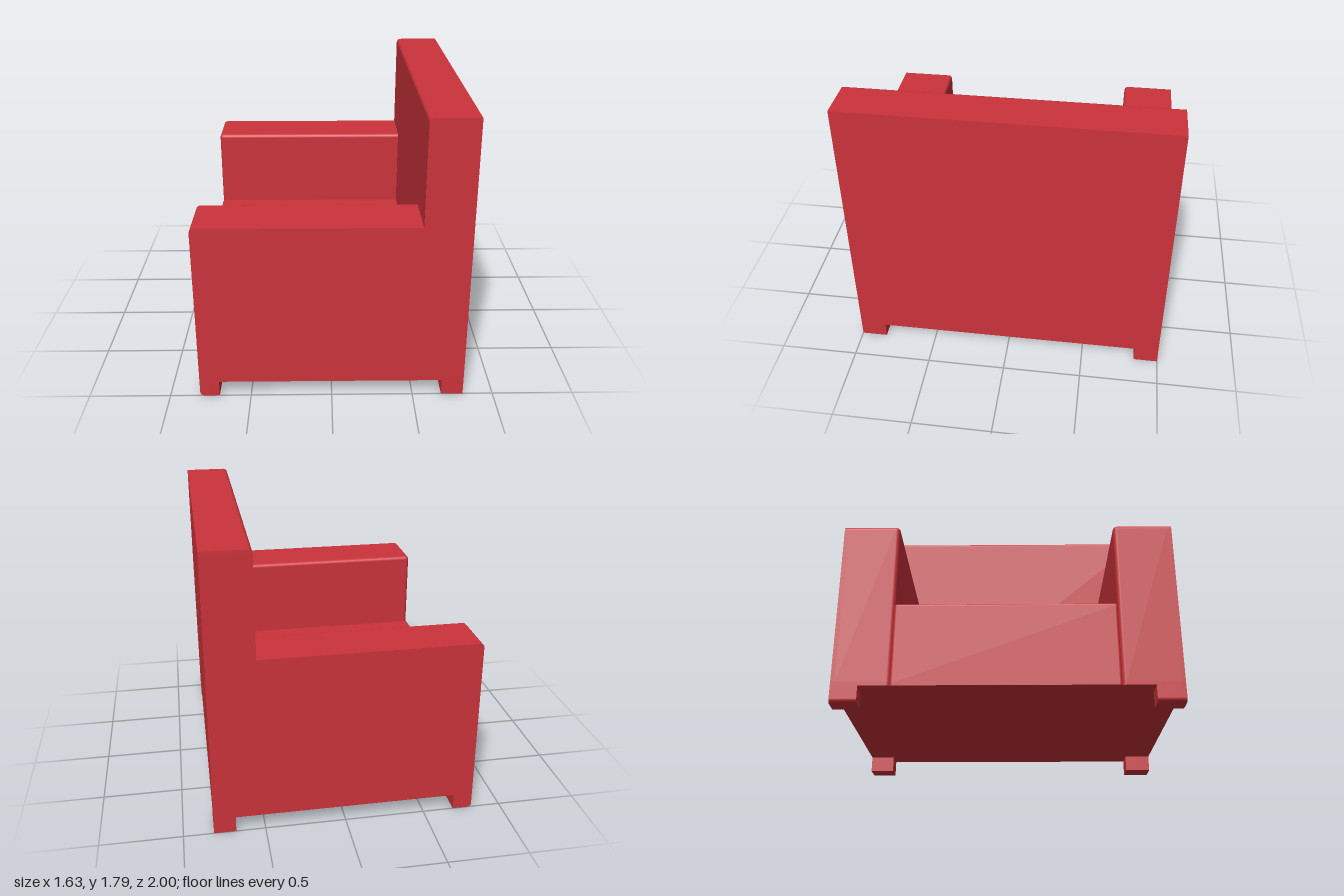
import * as THREE from 'three';

const material = new THREE.MeshStandardMaterial({ color: 0xcc333b });

// Box from min to max corner; only the listed sides (e.g. '-x', '+y') get rounded edges.
function softBox(name, min, max, soft = [], r = 0.025) {
  const n = 9, half = 4;
  const geometry = new THREE.BoxGeometry(1, 1, 1, n, n, n);
  const pos = geometry.attributes.position;
  const nor = geometry.attributes.normal;
  const axes = ['x', 'y', 'z'];
  const core = axes.map((a, k) => [
    min[k] + (soft.includes('-' + a) ? r : 0),
    max[k] - (soft.includes('+' + a) ? r : 0),
  ]);
  const p = new THREE.Vector3(), d = new THREE.Vector3(), c = new THREE.Vector3();
  for (let i = 0; i < pos.count; i++) {
    p.fromBufferAttribute(pos, i);
    // Gather the grid lines near the edges, then wrap the corners round the core.
    axes.forEach((a, k) => {
      const step = Math.round((p[a] + 0.5) * n);
      p[a] = step <= half ? min[k] + (r * step) / half : max[k] - (r * (n - step)) / half;
      c[a] = THREE.MathUtils.clamp(p[a], core[k][0], core[k][1]);
    });
    d.subVectors(p, c);
    const reach = Math.max(Math.abs(d.x), Math.abs(d.y), Math.abs(d.z));
    if (reach > 1e-6) {
      d.normalize();
      p.copy(c).addScaledVector(d, reach);
      const onSoftSide = axes.some((a, k) =>
        (nor.getComponent(i, k) < -0.5 && soft.includes('-' + a)) ||
        (nor.getComponent(i, k) > 0.5 && soft.includes('+' + a)));
      if (onSoftSide) nor.setXYZ(i, d.x, d.y, d.z);
    }
    pos.setXYZ(i, p.x, p.y, p.z);
  }
  const mesh = new THREE.Mesh(geometry, material);
  mesh.name = name;
  return mesh;
}

export function createModel() {
  const chair = new THREE.Group();
  chair.name = 'armchair';

  // Tall back across the full width
  chair.add(softBox('backrest', [0.525, 0.1, -1], [0.815, 1.79, 1], ['-x', '+y']));

  // Seat block between the arms
  chair.add(softBox('seat', [-0.817, 0.1, -0.665], [0.53, 0.61, 0.645],
    ['-x', '+y', '-z', '+z'], 0.015));

  // Arms, rounded at the front and along the inner edge
  chair.add(softBox('rightArm', [-0.815, 0.1, -1], [0.53, 1.14, -0.66], ['-x', '+y', '+z']));
  chair.add(softBox('leftArm', [-0.815, 0.1, 0.645], [0.53, 1.14, 1], ['-x', '+y', '-z']));

  // Short square feet; the front pair is rounded like the arms
  for (const [side, z0, z1] of [['left', 0.835, 1], ['right', -1, -0.845]]) {
    chair.add(softBox(side + 'FrontFoot', [-0.815, 0, z0], [-0.695, 0.12, z1], ['-x', '-y']));
    chair.add(softBox(side + 'BackFoot', [0.68, 0, z0], [0.815, 0.12, z1]));
  }
  return chair;
}
